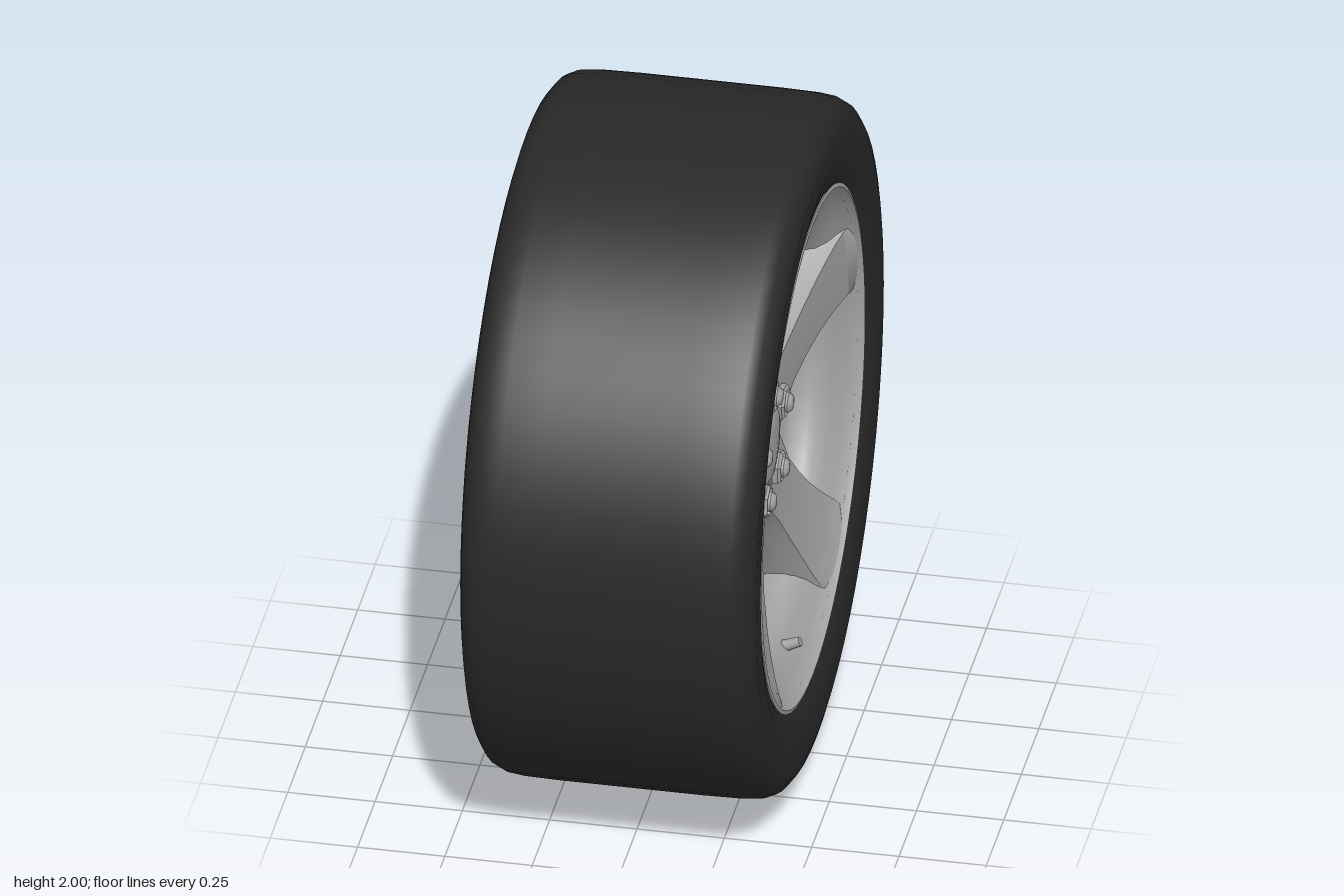
import * as THREE from 'three';
import { toCreasedNormals } from 'three/addons/utils/BufferGeometryUtils.js';

const rubber = new THREE.MeshStandardMaterial({ color: 0x282828, side: THREE.DoubleSide });
rubber.name = 'black rubber';
const alloy = new THREE.MeshStandardMaterial({ color: 0xa2a2a2, side: THREE.DoubleSide });
alloy.name = 'grey alloy';

function part(name, geometry, material) {
  const mesh = new THREE.Mesh(geometry, material);
  mesh.name = name;
  return mesh;
}

// Revolve [radius, x] points around the axle (x axis)
function revolve(points, segments, crease = 0.6) {
  const g = new THREE.LatheGeometry(points.map(([r, x]) => new THREE.Vector2(r, x)), segments);
  g.rotateZ(-Math.PI / 2);
  return toCreasedNormals(g, crease);
}

// Loft a spoke outward along +y from bevelled sections
function spokeGeometry() {
  // [radius, half width, front x, back x]
  const stations = [
    [0.08, 0.125, 0.27, 0.17],
    [0.25, 0.13, 0.275, 0.17],
    [0.32, 0.118, 0.282, 0.175],
    [0.42, 0.122, 0.298, 0.185],
    [0.52, 0.132, 0.318, 0.195],
    [0.6, 0.146, 0.338, 0.195],
    [0.65, 0.156, 0.353, 0.185],
    [0.69, 0.163, 0.367, 0.18],
    [0.73, 0.165, 0.387, 0.18],
  ];
  const positions = [], index = [], n = 9;
  for (const [r, w, f, b] of stations) {
    const section = [[b, 0.85 * w], [b + 0.025, w], [f - 0.05, 0.96 * w], [f, 0.8 * w],
      [f + 0.004, 0], [f, -0.8 * w], [f - 0.05, -0.96 * w], [b + 0.025, -w], [b, -0.85 * w]];
    for (const [x, z] of section) positions.push(x, r, z);
  }
  for (let i = 0; i < stations.length - 1; i++) {
    for (let j = 0; j < n; j++) {
      const a = i * n + j, b = i * n + (j + 1) % n;
      index.push(a, b, b + n, a, b + n, a + n);
    }
  }
  const g = new THREE.BufferGeometry();
  g.setAttribute('position', new THREE.Float32BufferAttribute(positions, 3));
  g.setIndex(index);
  return toCreasedNormals(g, 1);
}

export function createModel() {
  const model = new THREE.Group();
  model.name = 'wheel';
  const wheel = new THREE.Group();
  wheel.name = 'wheelAssembly';
  wheel.position.y = 1;
  model.add(wheel);

  // Tyre with rounded shoulders
  const side = [[0.73, 0.385], [0.76, 0.403], [0.82, 0.418], [0.91, 0.424],
    [0.945, 0.415], [0.977, 0.392], [0.992, 0.36], [0.998, 0.31], [1, 0.2]];
  const tyreProfile = [...side.map(([r, x]) => [r, -x]), ...side.slice().reverse()];
  wheel.add(part('tyre', revolve(tyreProfile, 64, 1), rubber));

  // Rim: open barrel at the back, window ring sloping out to the front lip
  wheel.add(part('rimBarrel', revolve([
    [0.74, -0.405], [0.728, -0.395], [0.72, -0.36], [0.71, -0.2], [0.7, 0],
    [0.69, 0.12], [0.67, 0.175], [0.635, 0.205], [0.62, 0.225], [0.62, 0.275],
    [0.63, 0.3], [0.66, 0.33], [0.7, 0.357], [0.73, 0.385], [0.74, 0.405], [0.752, 0.402],
  ], 60, 0.8), alloy));

  // Hub with raised centre cap
  wheel.add(part('hub', revolve([
    [0.001, 0.165], [0.22, 0.165], [0.245, 0.18], [0.25, 0.22], [0.235, 0.25],
    [0.2, 0.272], [0.115, 0.28], [0.1, 0.29], [0.05, 0.294], [0.001, 0.295],
  ], 30, 0.9), alloy));

  // Five spokes, each with a lug nut in a hexagonal seat
  const spoke = spokeGeometry();
  const seat = revolve([[0.052, 0.26], [0.052, 0.292], [0.043, 0.3], [0.038, 0.288], [0.001, 0.286]], 6, 0.4);
  const nut = revolve([[0.03, 0.28], [0.03, 0.305], [0.02, 0.316], [0.001, 0.319]], 10, 0.7);
  for (let i = 0; i < 5; i++) {
    const arm = new THREE.Group();
    arm.name = 'spokeArm' + (i + 1);
    arm.rotation.x = i * Math.PI * 2 / 5;
    arm.add(part('spoke', spoke, alloy));
    for (const [name, g] of [['lugSeat', seat], ['lugNut', nut]]) {
      const lug = part(name, g, alloy);
      lug.position.y = 0.16;
      arm.add(lug);
    }
    wheel.add(arm);
  }

  // Tyre valve on the lower rim slope
  const valve = part('valveStem', new THREE.CylinderGeometry(0.014, 0.018, 0.06, 10), alloy);
  valve.rotation.z = -Math.PI / 2 + 0.4;
  valve.position.set(0.34, -0.65, 0);
  wheel.add(valve);

  return model;
}
